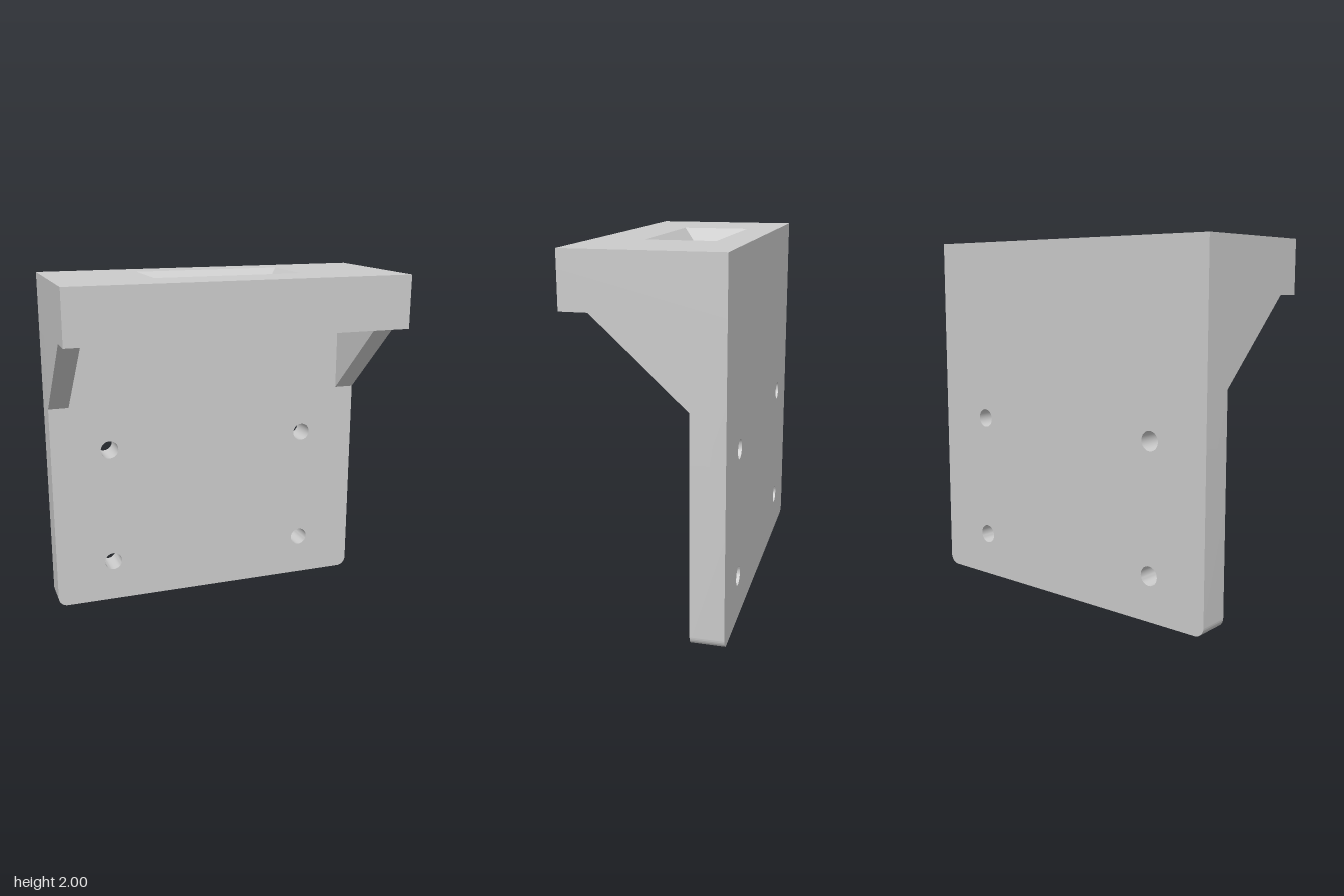
import * as THREE from 'three';
import { toCreasedNormals } from 'three/addons/utils/BufferGeometryUtils.js';

const W = 0.967, BACK = -0.415, FRONT = 0.415, PLATE_FRONT = -0.235;
const SHELF_Y = 1.7, FUNNEL_Y = 1.905, TOP = 2;
const SLOT_Z = -0.05, SLOT_X = 0.335, SLOT_HALF = 0.1, FLARE = 0.09;

// Rectangle with separate radii for its bottom and top corners
function rectPath(path, x0, y0, x1, y1, rBottom = 0, rTop = rBottom) {
  path.moveTo(x0 + rBottom, y0);
  path.lineTo(x1 - rBottom, y0);
  if (rBottom) path.absarc(x1 - rBottom, y0 + rBottom, rBottom, -Math.PI / 2, 0);
  path.lineTo(x1, y1 - rTop);
  if (rTop) path.absarc(x1 - rTop, y1 - rTop, rTop, 0, Math.PI / 2);
  path.lineTo(x0 + rTop, y1);
  if (rTop) path.absarc(x0 + rTop, y1 - rTop, rTop, Math.PI / 2, Math.PI);
  path.lineTo(x0, y0 + rBottom);
  if (rBottom) path.absarc(x0 + rBottom, y0 + rBottom, rBottom, Math.PI, Math.PI * 1.5);
  return path;
}

const extrude = (shape, depth) =>
  new THREE.ExtrudeGeometry(shape, { depth, bevelEnabled: false, curveSegments: 16 });

// Shelf outline seen from above (shape y is -z), pierced by the slot
function shelfShape(cornerRadius) {
  const shape = rectPath(new THREE.Shape(), -W, -FRONT, W, -BACK);
  shape.holes.push(rectPath(new THREE.Path(), -SLOT_X, -SLOT_Z - SLOT_HALF,
    SLOT_X, -SLOT_Z + SLOT_HALF, cornerRadius));
  return shape;
}

export function createModel() {
  const group = new THREE.Group();
  const material = new THREE.MeshStandardMaterial({ color: 0xcccccc });
  const add = (name, geometry) => {
    const mesh = new THREE.Mesh(toCreasedNormals(geometry, 0.5), material);
    mesh.name = name;
    group.add(mesh);
  };

  // Back plate with rounded lower corners and four screw holes
  const plate = rectPath(new THREE.Shape(), -W, 0, W, SHELF_Y, 0.055, 0);
  for (const x of [-0.62, 0.62]) {
    for (const y of [0.25, 0.965]) {
      plate.holes.push(new THREE.Path().absarc(x, y, 0.053, 0, Math.PI * 2, true));
    }
  }
  add('backPlate', extrude(plate, PLATE_FRONT - BACK).translate(0, 0, BACK));

  // Lower shelf with the straight, round-cornered slot
  add('shelf', extrude(shelfShape(0.03), FUNNEL_Y - SHELF_Y)
    .rotateX(-Math.PI / 2).translate(0, SHELF_Y, 0));

  // Upper shelf: the slot flares outwards to its upper rim
  const funnel = extrude(shelfShape(0), TOP - FUNNEL_Y)
    .rotateX(-Math.PI / 2).translate(0, FUNNEL_Y, 0);
  const p = funnel.attributes.position;
  for (let i = 0; i < p.count; i++) {
    const x = p.getX(i), z = p.getZ(i);
    if (p.getY(i) > TOP - 0.01 && Math.abs(x) < W - 0.1) {
      p.setX(i, x + Math.sign(x) * FLARE);
      p.setZ(i, z + Math.sign(z - SLOT_Z) * FLARE);
    }
  }
  add('flaredShelfTop', funnel);

  // Triangular gussets under the shelf ends, drawn in (z, y)
  const gusset = new THREE.Shape();
  gusset.moveTo(PLATE_FRONT, 1.24);
  gusset.lineTo(0.265, SHELF_Y);
  gusset.lineTo(PLATE_FRONT, SHELF_Y);
  const thickness = W - 0.85;
  for (const [name, x] of [['leftGusset', 0.85], ['rightGusset', -W]]) {
    add(name, extrude(gusset, thickness).rotateY(-Math.PI / 2).translate(x + thickness, 0, 0));
  }

  return group;
}
